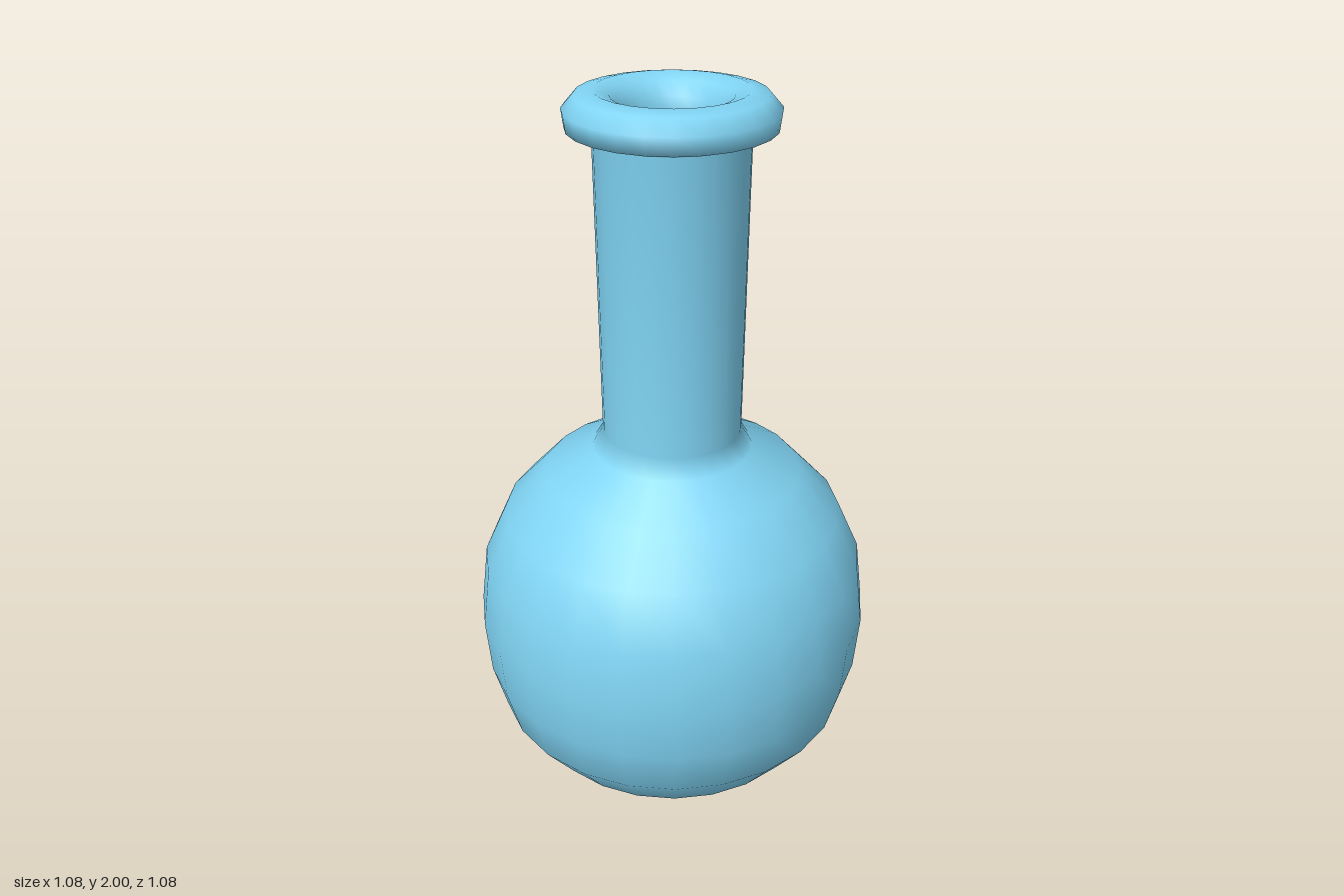
import * as THREE from 'three';

const SEGMENTS = 24;

// Outer wall, from the bottom of the bulb up to the crest of the lip
const outer = [
  [0, 0], [0.14, 0.02], [0.28, 0.065], [0.4, 0.155], [0.49, 0.27], [0.527, 0.405],
  [0.54, 0.56], [0.52, 0.725], [0.457, 0.865], [0.345, 0.985], [0.215, 1.055],
  [0.185, 1.105], [0.195, 1.89], [0.26, 1.91], [0.266, 1.955], [0.235, 1.99], [0.19, 2],
];

// Inner wall, from the lip down the bore and round the hollow bulb
const inner = [
  [0.15, 1.985], [0.122, 1.95], [0.115, 1.9], [0.13, 1.85], [0.125, 1.1], [0.19, 1.035],
  [0.33, 0.965], [0.437, 0.855], [0.5, 0.72], [0.518, 0.56], [0.506, 0.41],
  [0.47, 0.28], [0.385, 0.17], [0.27, 0.085], [0.135, 0.04], [0, 0.025],
];

export function createModel() {
  const group = new THREE.Group();
  group.name = 'roundFlask';

  const profile = [...outer, ...inner].map(([r, y]) => new THREE.Vector2(r, y));
  const glass = new THREE.MeshStandardMaterial({ color: 0x80d4f4, side: THREE.DoubleSide });
  const body = new THREE.Mesh(new THREE.LatheGeometry(profile, SEGMENTS), glass);
  body.name = 'flaskBody';
  group.add(body);

  return group;
}
